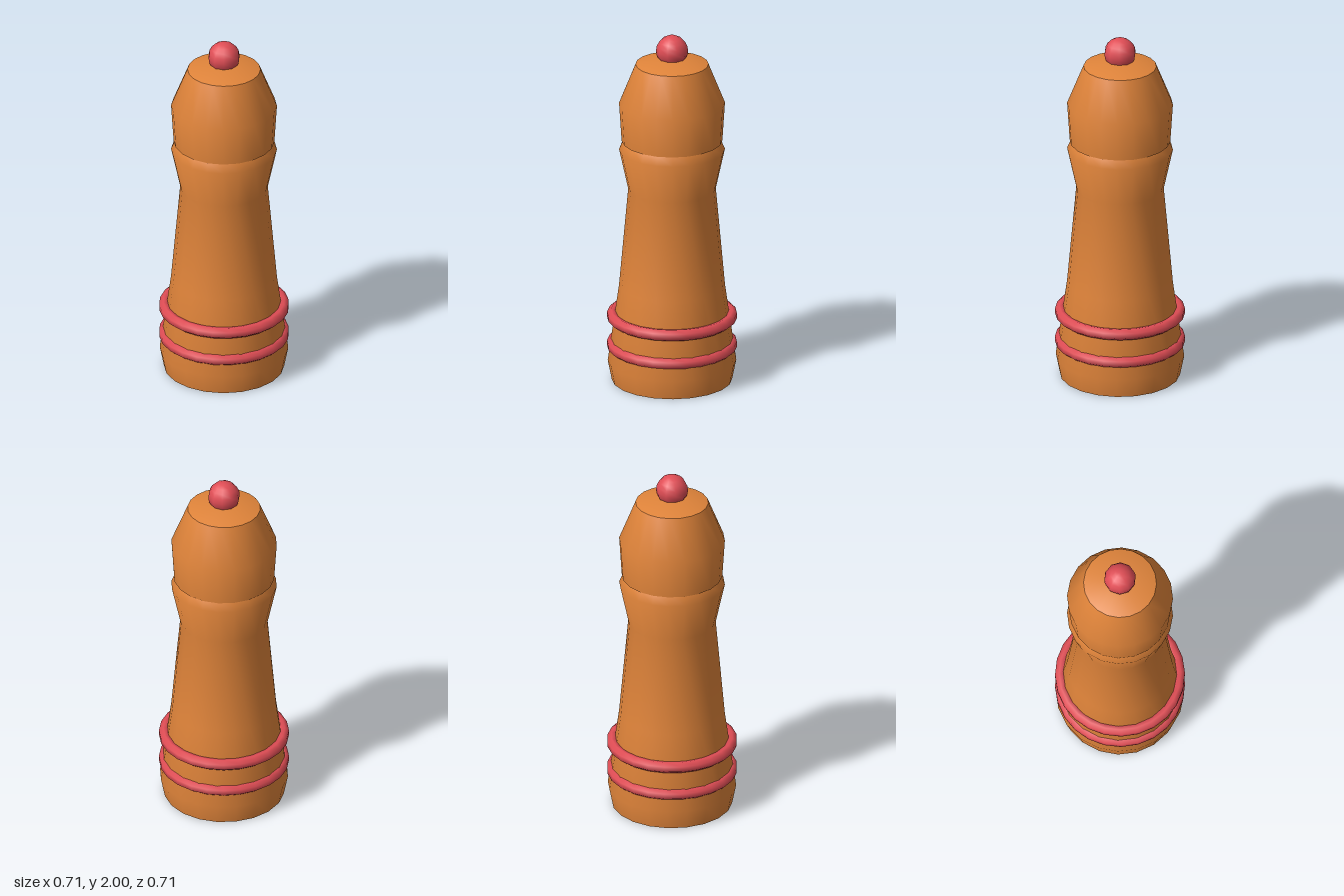
import * as THREE from 'three';
import { toCreasedNormals } from 'three/addons/utils/BufferGeometryUtils.js';

// Revolve a list of [radius, height] points, running from bottom to top
function turned(points, sides) {
  const profile = points.map(([r, y]) => new THREE.Vector2(r, y));
  return new THREE.LatheGeometry(profile, sides);
}

// Closed rounded cross-section for a ring, with a flat outer side
function ringProfile(radius, tube, sides) {
  const points = [];
  for (let i = 0; i <= sides; i++) {
    const a = Math.PI + (i / sides) * Math.PI * 2;
    points.push([radius + Math.cos(a) * tube, Math.sin(a) * tube]);
  }
  return points;
}

export function createModel() {
  const group = new THREE.Group();
  const wood = new THREE.MeshStandardMaterial({ color: 0xe0843a });
  wood.name = 'orange wood';
  const red = new THREE.MeshStandardMaterial({ color: 0xe04d55 });
  red.name = 'red trim';

  const add = (name, geometry, material, y = 0) => {
    const mesh = new THREE.Mesh(geometry, material);
    mesh.name = name;
    mesh.position.y = y;
    group.add(mesh);
  };

  // Waisted lower body
  const body = turned([
    [0, 0], [0.33, 0], [0.352, 0.11], [0.29, 0.55],
    [0.24, 1.11], [0.29, 1.34], [0.268, 1.39], [0, 1.39],
  ], 20);
  add('body', toCreasedNormals(body, 0.75), wood);

  // Turning head with a shallow conical top
  const head = turned([
    [0, 1.39], [0.276, 1.39], [0.29, 1.61], [0.2, 1.835], [0, 1.892],
  ], 20);
  add('head', toCreasedNormals(head, 0.75), wood);

  // Two trim rings around the base
  const ring = turned(ringProfile(0.326, 0.033, 7), 24);
  add('lowerRing', ring, red, 0.206);
  add('upperRing', ring, red, 0.372);

  // Knob on top
  const knob = new THREE.SphereGeometry(0.088, 10, 10).rotateY(Math.PI / 2);
  add('knob', knob, red, 1.912);

  return group;
}
